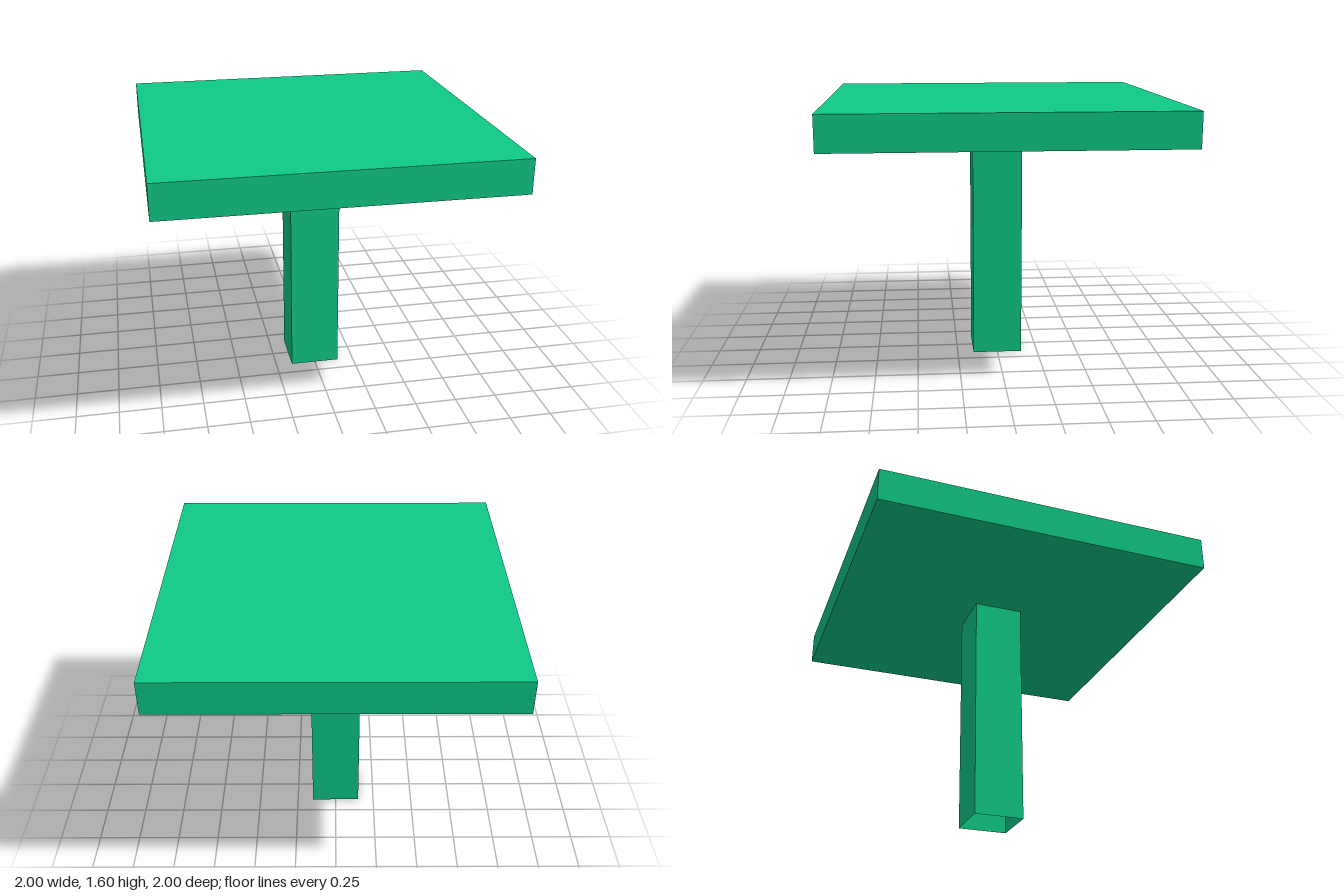
import * as THREE from 'three';

export function createModel() {
  const group = new THREE.Group();
  const color = 0x0fcb87;

  // Square slab top
  const top = new THREE.Mesh(
    new THREE.BoxGeometry(2, 0.2, 2),
    new THREE.MeshStandardMaterial({ color })
  );
  top.name = 'tableTop';
  top.position.y = 1.5;

  // Hollow square post, open at the foot
  const radius = 0.15 * Math.SQRT2;
  const post = new THREE.Mesh(
    new THREE.CylinderGeometry(radius, radius, 1.4, 4, 1, true).rotateY(Math.PI / 4),
    new THREE.MeshStandardMaterial({ color, flatShading: true, side: THREE.DoubleSide })
  );
  post.name = 'post';
  post.position.y = 0.7;

  group.add(top, post);
  return group;
}
